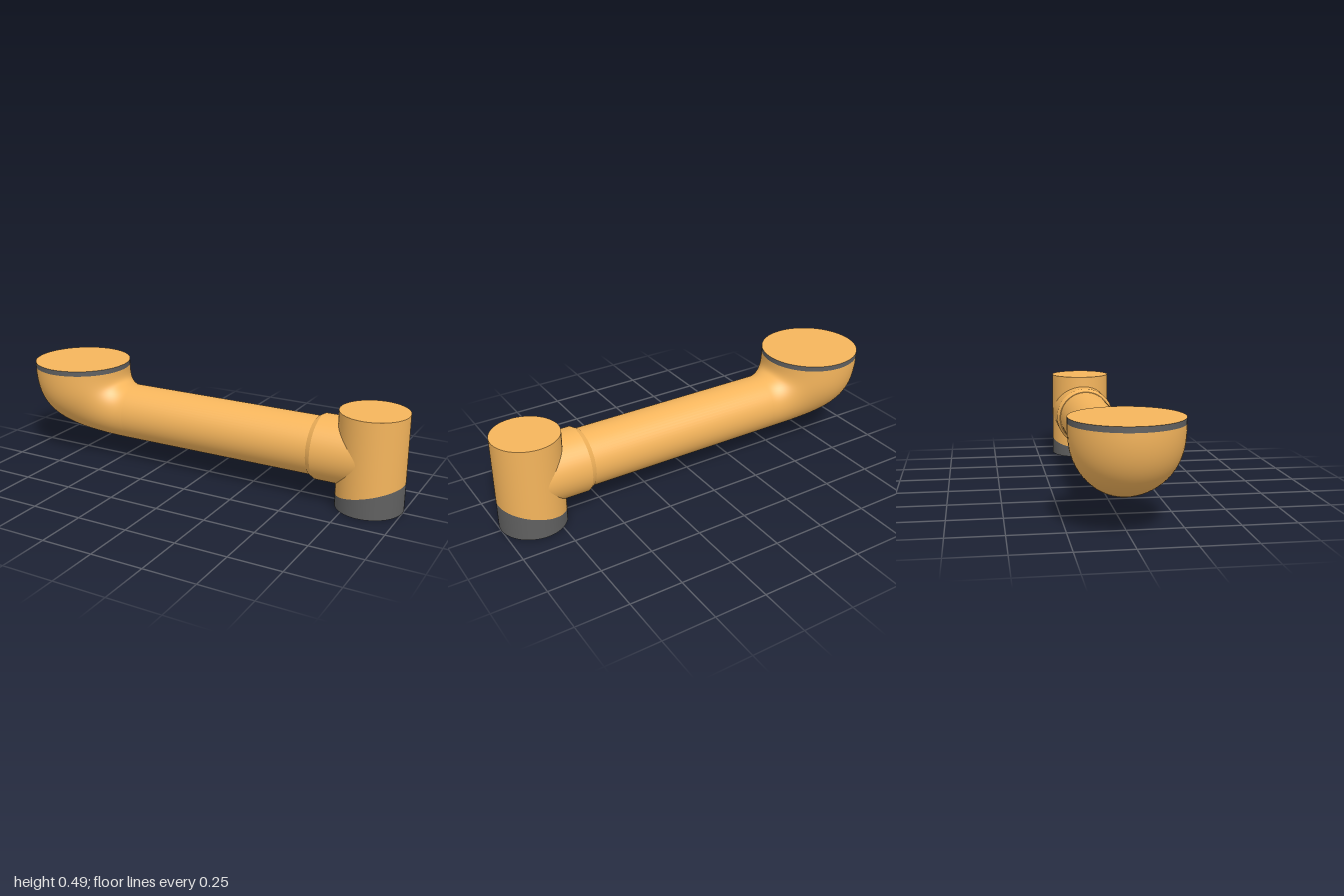
import * as THREE from 'three';

const SEG = 64;
const orange = new THREE.MeshStandardMaterial({ color: 0xf5b55c });
const grey = new THREE.MeshStandardMaterial({ color: 0x606060 });

const AXIS_Y = 0.249;      // height of the horizontal tube axis
const TUBE_R = 0.14;
const POST_X = 0.841, POST_R = 0.159, POST_TOP = 0.46;
const CUP_X = -0.755, CUP_R = 0.245, CUP_Y = 0.46, CUP_TOP = 0.485;

// Height of the slanted split through the upright post, x measured from its axis
const splitHeight = (x) => 0.094 + x * 0.26;

// Upright cylinder piece between two heights, each a number or a rule of x
function postPiece(bottom, top, capBottom) {
  const at = (h, x) => (typeof h === 'function' ? h(x) : h);
  const side = new THREE.CylinderGeometry(POST_R, POST_R, 1, SEG, 1, true);
  const p = side.attributes.position;
  for (let i = 0; i < p.count; i++) {
    p.setY(i, at(p.getY(i) > 0 ? top : bottom, p.getX(i)));
  }
  const cap = new THREE.CircleGeometry(POST_R, SEG).rotateX(capBottom ? Math.PI / 2 : -Math.PI / 2);
  cap.translate(0, capBottom ? bottom : top, 0);
  return [side, cap];
}

// Elbow lofted from circles spanning an outer and an inner bend curve
function elbowGeometry() {
  const v = (x, y) => new THREE.Vector3(x, y, 0);
  const outer = new THREE.CubicBezierCurve3(
    v(CUP_X - CUP_R, CUP_Y), v(-1, 0.2), v(-0.82, AXIS_Y - TUBE_R), v(-0.43, AXIS_Y - TUBE_R));
  const inner = new THREE.CubicBezierCurve3(
    v(CUP_X + CUP_R, CUP_Y), v(-0.51, 0.4), v(-0.5, AXIS_Y + TUBE_R), v(-0.43, AXIS_Y + TUBE_R));
  const rings = 40, pos = [], index = [];
  for (let i = 0; i <= rings; i++) {
    const o = outer.getPoint(i / rings), n = inner.getPoint(i / rings);
    const c = o.clone().add(n).multiplyScalar(0.5);
    const u = o.clone().sub(c), r = u.length();
    for (let j = 0; j < SEG; j++) {
      const a = (j / SEG) * Math.PI * 2;
      pos.push(c.x + u.x * Math.cos(a), c.y + u.y * Math.cos(a), r * Math.sin(a));
      if (i < rings) {
        const k = (j + 1) % SEG, p = i * SEG, q = p + SEG;
        index.push(p + j, q + j, p + k, q + j, q + k, p + k);
      }
    }
  }
  const g = new THREE.BufferGeometry();
  g.setAttribute('position', new THREE.Float32BufferAttribute(pos, 3));
  g.setIndex(index);
  g.computeVertexNormals();
  return g;
}

// Horizontal open cylinder along x, from x0 (radius r0) to x1 (radius r1)
function alongX(x0, x1, r0, r1) {
  return new THREE.CylinderGeometry(r1, r0, x1 - x0, SEG, 1, true)
    .rotateZ(-Math.PI / 2)
    .translate((x0 + x1) / 2, AXIS_Y, 0);
}

export function createModel() {
  const model = new THREE.Group();
  const add = (name, geometry, material, parent = model) => {
    const mesh = new THREE.Mesh(geometry, material);
    mesh.name = name;
    parent.add(mesh);
    return mesh;
  };

  // Wide elbow joint with its grey seal and lid
  add('elbow', elbowGeometry(), orange);
  add('sealRing', new THREE.CylinderGeometry(CUP_R, CUP_R, CUP_TOP - CUP_Y, SEG, 1, true)
    .translate(CUP_X, (CUP_Y + CUP_TOP) / 2, 0), grey);
  add('elbowLid', new THREE.CircleGeometry(CUP_R, SEG).rotateX(-Math.PI / 2)
    .translate(CUP_X, CUP_TOP, 0), orange);

  // Long tube and the collar that runs into the post
  add('armTube', alongX(-0.43, 0.6, TUBE_R, TUBE_R), orange);
  add('collarChamfer', alongX(0.573, 0.598, 0.143, 0.157), orange);
  add('collarLip', new THREE.RingGeometry(TUBE_R - 0.005, 0.143, SEG).rotateY(-Math.PI / 2)
    .translate(0.573, AXIS_Y, 0), orange);
  add('collar', alongX(0.598, POST_X, 0.157, 0.157), orange);

  // Upright post, split by a slanted plane into body and grey base
  const post = new THREE.Group();
  post.name = 'post';
  post.position.x = POST_X;
  model.add(post);
  const [bodySide, bodyTop] = postPiece(splitHeight, POST_TOP, false);
  add('postBody', bodySide, orange, post);
  add('postTop', bodyTop, orange, post);
  const [baseSide, baseBottom] = postPiece(0, splitHeight, true);
  add('postBase', baseSide, grey, post);
  add('postBottom', baseBottom, grey, post);

  return model;
}
